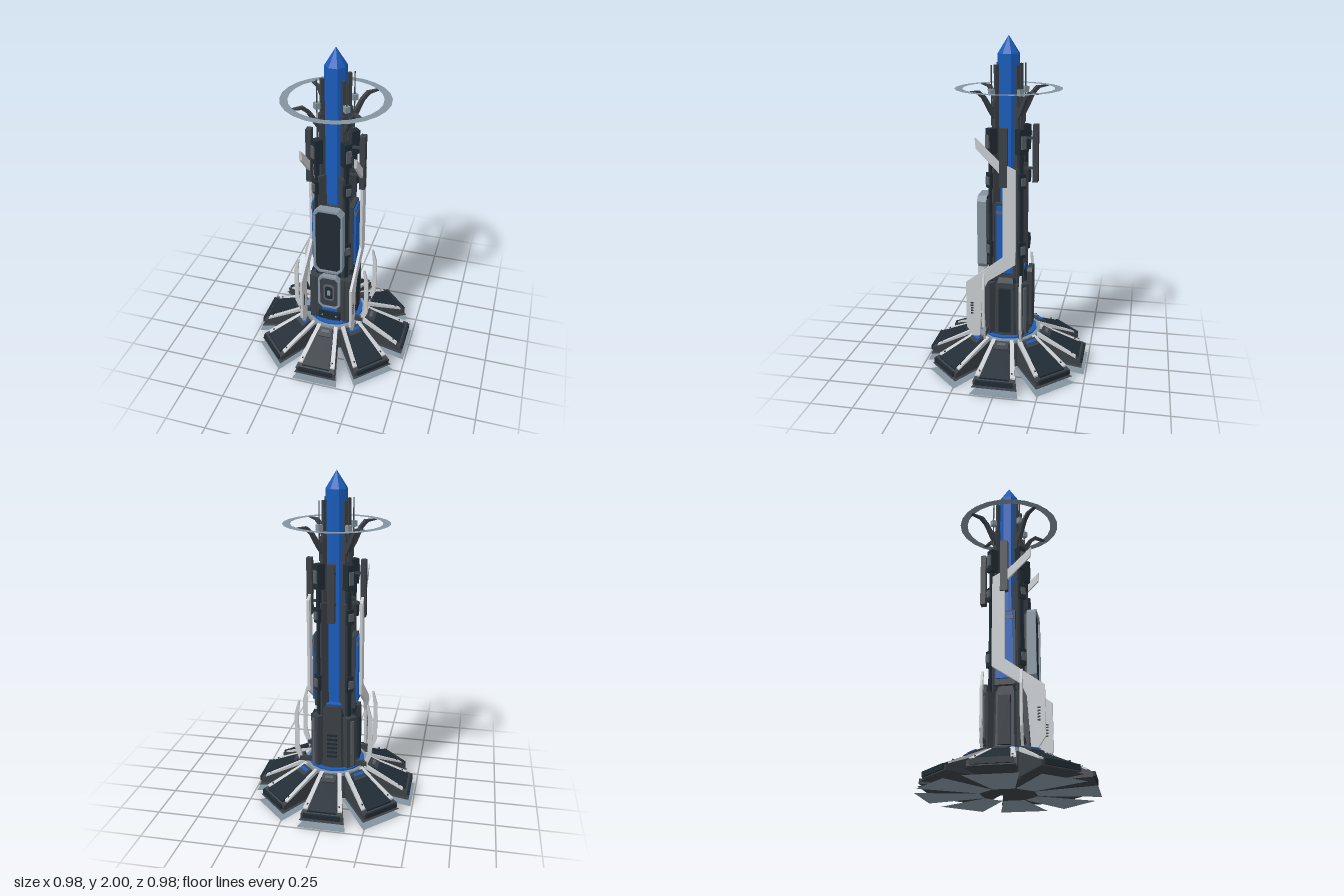
import * as THREE from 'three';
import { ConvexGeometry } from 'three/addons/geometries/ConvexGeometry.js';

const mat = (color) => new THREE.MeshStandardMaterial({ color, flatShading: true, side: THREE.DoubleSide });
const BLUE = mat(0x1a5cba), DARK = mat(0x3a4046), PANEL = mat(0x202b34),
  STEEL = mat(0x8493a0), PALE = mat(0xc8ccd0), MID = mat(0x596067);

function add(parent, name, geo, material, x = 0, y = 0, z = 0) {
  const m = new THREE.Mesh(geo, material);
  m.name = name;
  m.position.set(x, y, z);
  parent.add(m);
  return m;
}
const box = (p, name, material, w, h, d, x, y, z) => add(p, name, new THREE.BoxGeometry(w, h, d), material, x, y, z);

// Group whose +z points outward at the given angle
function spoke(parent, name, angle) {
  const g = new THREE.Group();
  g.name = name;
  g.rotation.y = angle;
  parent.add(g);
  return g;
}

const polygon = (pts) => new THREE.Shape(pts.map(([x, y]) => new THREE.Vector2(x, y)));
const extrude = (shape, depth) => new THREE.ExtrudeGeometry(shape, { depth, bevelEnabled: false });

// Rectangle with cut corners, centred on the origin
function cutRect(w, h, c) {
  const a = w / 2, b = h / 2;
  return [[-a + c, -b], [a - c, -b], [a, -b + c], [a, b - c], [a - c, b], [-a + c, b], [-a, b - c], [-a, -b + c]];
}

// Panel with a raised border
function framedPanel(p, name, w, h, c, border, x, y, z, depth, frameMat, faceMat) {
  const frame = polygon(cutRect(w, h, c));
  frame.holes.push(polygon(cutRect(w - 2 * border, h - 2 * border, c * 0.8)));
  add(p, name + 'Frame', extrude(frame, depth), frameMat, x, y, z);
  add(p, name + 'Face', extrude(polygon(cutRect(w - border, h - border, c * 0.9)), depth * 0.8), faceMat, x, y, z);
}

// Tapered slab running outward: x from a to b at each end, y from bottom to top
function slab(p, name, material, r0, [a0, b0], [l0, t0], r1, [a1, b1], [l1, t1]) {
  const pts = [];
  for (const [r, a, b, l, t] of [[r0, a0, b0, l0, t0], [r1, a1, b1, l1, t1]])
    for (const x of [a, b]) for (const y of [l, t]) pts.push(new THREE.Vector3(x, y, r));
  return add(p, name, new ConvexGeometry(pts), material);
}

function buildPetal(parent, i) {
  const g = spoke(parent, 'petal', (i * Math.PI) / 4);
  const top = (r) => 0.195 - 0.46 * (r - 0.21);
  slab(g, 'petalBody', DARK, 0.17, [-0.065, 0.065], [0.05, 0.195], 0.465, [-0.125, 0.125], [0.05, top(0.465)]);
  slab(g, 'petalPanel', PANEL, 0.23, [-0.05, 0.05], [0.1, top(0.23) + 0.01], 0.45, [-0.088, 0.088], [0.06, top(0.45) + 0.01]);
  for (const s of [-1, 1]) {
    slab(g, 'petalStripe', PALE, 0.19, [s * 0.042, s * 0.066], [0.1, top(0.19) + 0.008],
      0.435, [s * 0.09, s * 0.118], [0.06, top(0.435) + 0.008]);
    box(g, 'petalBolt', DARK, 0.008, 0.008, 0.008, s * 0.095, top(0.41) + 0.01, 0.41);
  }
  box(g, 'petalLip', PANEL, 0.22, 0.028, 0.014, 0, 0.07, 0.47);
  // Thin skirt plates below the petal
  for (const [y, r, w, m] of [[0.002, 0.49, 0.143, STEEL], [0.04, 0.475, 0.135, DARK]]) {
    const geo = new THREE.ShapeGeometry(polygon([[-0.06, -0.15], [0.06, -0.15], [w, -r], [-w, -r]]));
    add(g, 'skirtPlate', geo.rotateX(-Math.PI / 2).scale(1, 1, -1).rotateY(Math.PI).scale(1, 1, -1), m, 0, y - 0.002, 0);
  }
  // Equipment box at the petal root
  const root = box(g, 'rootBox', DARK, 0.085, 0.035, 0.06, 0, 0.185, 0.235);
  root.rotation.x = 0.43;
  const inset = box(g, 'rootInset', i % 2 ? BLUE : MID, i % 2 ? 0.065 : 0.05, 0.006, 0.02, 0, 0.205, 0.24);
  inset.rotation.x = 0.43;
}

// Rails, lamp rods and ring hook on one diagonal
function buildDiagonal(parent, angle) {
  const g = spoke(parent, 'diagonalRail', angle);
  box(g, 'lowerRail', DARK, 0.05, 1.05, 0.05, 0, 0.73, 0.1);
  box(g, 'railSpine', PANEL, 0.022, 1.1, 0.022, 0, 0.78, 0.125);
  box(g, 'upperRail', DARK, 0.026, 0.42, 0.03, 0, 1.43, 0.09);
  for (const [y, h] of [[0.76, 0.1], [1.18, 0.09], [1.41, 0.15]]) {
    box(g, 'railBlock', PANEL, 0.045, h, 0.05, 0, y, 0.12);
    box(g, 'railClip', MID, 0.03, h * 0.5, 0.012, 0, y, 0.148);
  }
  box(g, 'topBar', DARK, 0.018, 0.3, 0.022, 0, 1.69, 0.085);
  add(g, 'lampRod', new THREE.CylinderGeometry(0.004, 0.004, 0.34, 6), DARK, 0, 1.67, 0.118);
  box(g, 'lamp', STEEL, 0.03, 0.035, 0.03, 0, 1.69, 0.118);
  const hook = polygon([[0.1, 1.53], [0.135, 1.58], [0.18, 1.66], [0.215, 1.69], [0.28, 1.698],
    [0.28, 1.703], [0.2, 1.705], [0.16, 1.67], [0.12, 1.61], [0.09, 1.6]]);
  add(g, 'ringHook', extrude(hook, 0.022).rotateY(-Math.PI / 2), DARK, 0.011, 0, 0);
  // Lower buttress beside the drum
  box(g, 'buttress', DARK, 0.07, 0.33, 0.05, 0, 0.385, 0.14);
  box(g, 'buttressTrim', MID, 0.02, 0.3, 0.012, 0, 0.38, 0.168);
}

// Tall bent plate, lower guard fins and blue panel on one side (s = +1 or -1)
function buildSide(parent, s) {
  const g = new THREE.Group();
  g.name = s > 0 ? 'leftSide' : 'rightSide';
  parent.add(g);
  const outline = polygon([[0.19, 0.21], [0.23, 0.27], [0.23, 0.56], [0.11, 0.65], [0.005, 0.73], [0.005, 1.22],
    [0.16, 1.38], [0.165, 1.44], [0.03, 1.31], [-0.07, 1.26], [-0.07, 0.69], [0.095, 0.575], [0.13, 0.5], [0.15, 0.21]]);
  add(g, 'sidePlate', extrude(outline, 0.016).rotateY(-Math.PI / 2), PALE, s * 0.158 + 0.008, 0, 0);
  for (let k = 0; k < 5; k++) box(g, 'plateSlot', PANEL, 0.02, 0.008, 0.016, s * 0.158, 0.36 + k * 0.017, 0.195);
  const fin = polygon([[0.2, 0.21], [0.24, 0.31], [0.24, 0.55], [0.215, 0.64], [0.205, 0.64],
    [0.215, 0.55], [0.215, 0.34], [0.19, 0.24]].map(([x, y]) => [s * x, y]));
  for (const z of [-0.11, 0.11]) {
    add(g, 'guardFin', extrude(fin, 0.014), PALE, 0, 0, z - 0.007);
    box(g, 'finMount', DARK, 0.07, 0.03, 0.02, s * 0.175, 0.25, z);
  }
  box(g, 'bluePanelBack', DARK, 0.03, 0.46, 0.12, s * 0.11, 0.82, 0);
  box(g, 'bluePanel', BLUE, 0.015, 0.41, 0.095, s * 0.13, 0.83, 0);
  box(g, 'bluePanelBand', MID, 0.02, 0.02, 0.1, s * 0.13, 1.0, 0);
  box(g, 'drumPanel', PANEL, 0.02, 0.28, 0.07, s * 0.14, 0.38, 0);
}

export function createModel() {
  const root = new THREE.Group();
  root.name = 'tower';

  // Base
  for (let i = 0; i < 8; i++) buildPetal(root, i);
  const oct = (r0, r1, h) => new THREE.CylinderGeometry(r0, r1, h, 8).rotateY(Math.PI / 8);
  add(root, 'hub', oct(0.2, 0.21, 0.15), DARK, 0, 0.115, 0);
  const collar = (r0, r1, h) => new THREE.LatheGeometry(
    [[r0, 0], [r1, 0], [r1, h], [r0, h], [r0, 0]].map(([x, y]) => new THREE.Vector2(x, y)), 16);
  add(root, 'outerCollar', collar(0.175, 0.2, 0.02), STEEL, 0, 0.19, 0);
  add(root, 'blueCollar', collar(0.15, 0.176, 0.03), BLUE, 0, 0.19, 0);

  // Core and drum
  add(root, 'core', oct(0.064, 0.064, 1.7), BLUE, 0, 1.05, 0);
  add(root, 'coreTip', new THREE.ConeGeometry(0.064, 0.1, 8).rotateY(Math.PI / 8), BLUE, 0, 1.95, 0);
  add(root, 'drum', oct(0.13, 0.14, 0.35), DARK, 0, 0.375, 0);
  add(root, 'drumCap', oct(0.1, 0.13, 0.05), PANEL, 0, 0.575, 0);
  add(root, 'blueBand', oct(0.105, 0.105, 0.025), BLUE, 0, 0.61, 0);

  for (let i = 0; i < 4; i++) buildDiagonal(root, Math.PI / 4 + (i * Math.PI) / 2);
  for (const s of [-1, 1]) buildSide(root, s);

  // Hanging bars on the left, right and back
  for (const a of [Math.PI / 2, Math.PI, -Math.PI / 2]) {
    const g = spoke(root, 'hangingBar', a);
    box(g, 'bar', DARK, 0.045, 0.34, 0.032, 0, 1.33, 0.16);
    box(g, 'barArm', DARK, 0.012, 0.014, 0.1, 0, 1.24, 0.1);
    box(g, 'barArm', DARK, 0.012, 0.014, 0.1, 0, 1.42, 0.1);
  }

  // Front panels
  box(root, 'upperPanelMount', DARK, 0.13, 0.4, 0.07, 0, 0.85, 0.09);
  framedPanel(root, 'upperPanel', 0.18, 0.45, 0.03, 0.013, 0, 0.85, 0.12, 0.055, STEEL, PANEL);
  box(root, 'lowerPanelMount', DARK, 0.18, 0.31, 0.03, 0, 0.4, 0.125);
  framedPanel(root, 'lowerPanel', 0.14, 0.245, 0.025, 0.012, 0, 0.455, 0.125, 0.035, STEEL, DARK);
  framedPanel(root, 'lowerInset', 0.07, 0.12, 0.014, 0.01, 0, 0.455, 0.14, 0.022, MID, PANEL);
  box(root, 'lowerButton', STEEL, 0.018, 0.035, 0.008, 0, 0.455, 0.161);
  box(root, 'frontBlueStrip', BLUE, 0.1, 0.018, 0.01, 0, 0.31, 0.145);
  box(root, 'frontVent', PANEL, 0.14, 0.06, 0.03, 0, 0.265, 0.14);
  for (const s of [-1, 1]) {
    box(root, 'frontBolt', STEEL, 0.01, 0.01, 0.01, s * 0.045, 0.265, 0.153);
    box(root, 'frontPost', DARK, 0.05, 0.33, 0.05, s * 0.105, 0.385, 0.11);
  }

  // Back panel with slots
  add(root, 'backPanel', extrude(polygon(cutRect(0.11, 0.39, 0.02)), 0.03), DARK, 0, 0.435, -0.152);
  for (let k = 0; k < 6; k++) box(root, 'backSlot', PANEL, 0.06, 0.014, 0.006, 0, 0.3 + k * 0.028, -0.153);

  // Halo ring
  add(root, 'halo', new THREE.RingGeometry(0.265, 0.31, 24).rotateX(-Math.PI / 2), STEEL, 0, 1.704, 0);
  return root;
}
